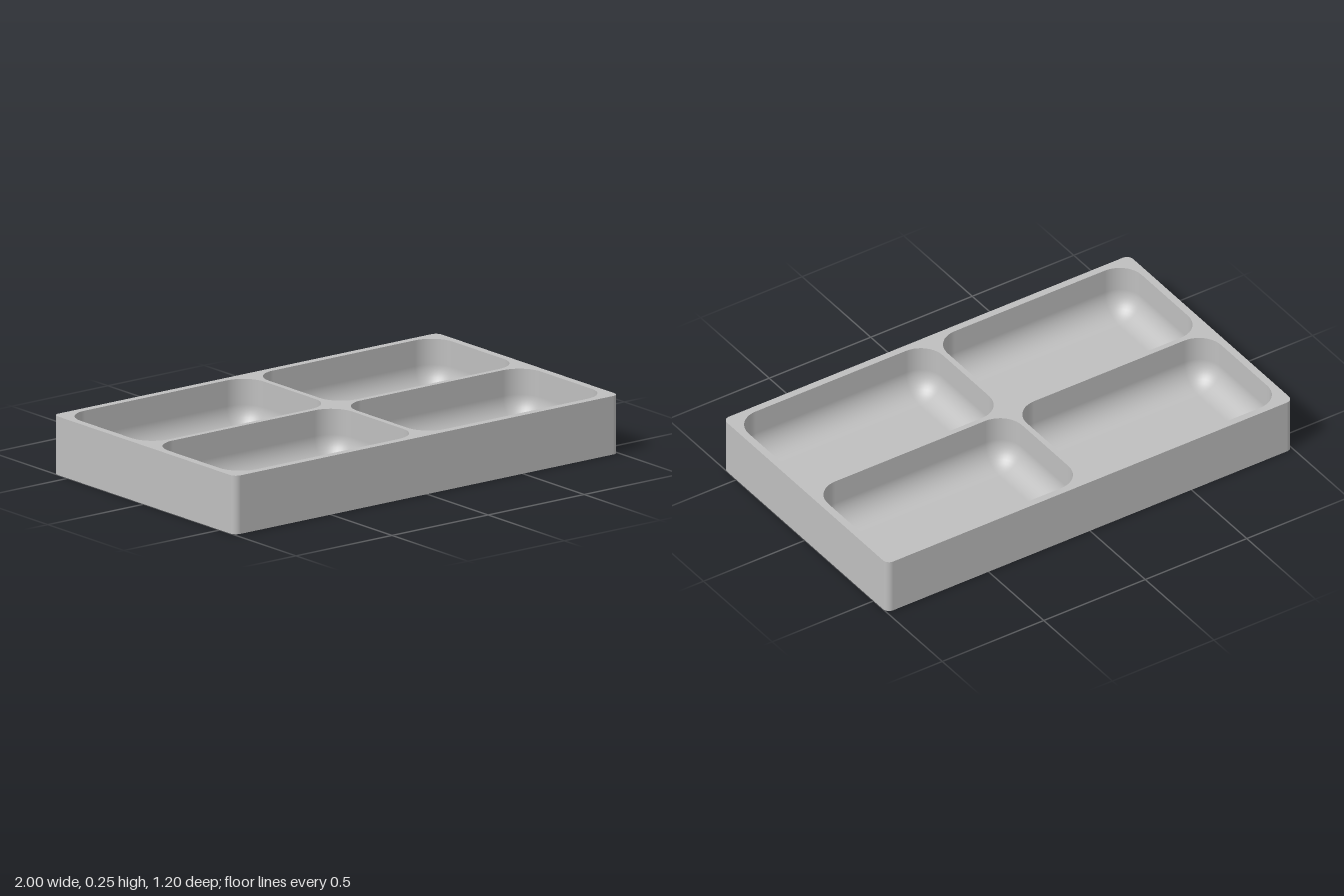
import * as THREE from 'three';

const H = 0.248, FLOOR = 0.03;          // tray height, floor thickness
const HX = 1, HZ = 0.598, R = 0.03;     // outer half sizes and corner radius
const PX = 0.478, PZ = 0.277, PR = 0.108; // pocket half sizes, corner and fillet radius
const CX = 0.49, CZ = 0.289;            // pocket centre offsets
const SEG = 10;

// Rounded rectangle as points with outward directions
function outline(hx, hz, r) {
  const pts = [];
  [[1, 1], [-1, 1], [-1, -1], [1, -1]].forEach(([sx, sz], q) => {
    for (let i = 0; i <= SEG; i++) {
      const a = (q + i / SEG) * Math.PI / 2, nx = Math.cos(a), nz = Math.sin(a);
      pts.push({ x: sx * (hx - r) + r * nx, z: sz * (hz - r) + r * nz, nx, nz });
    }
  });
  return pts;
}

// Skin between rings; each ring has an outline, a height and a normal (side, up)
function loft(rings) {
  const pos = [], nor = [], idx = [], n = rings[0].pts.length;
  for (const { pts, y, side, up } of rings) {
    for (const p of pts) {
      pos.push(p.x, y, p.z);
      nor.push(p.nx * side, up, p.nz * side);
    }
  }
  for (let k = 0; k < rings.length - 1; k++) {
    for (let i = 0; i < n; i++) {
      const j = (i + 1) % n, a = k * n + i, b = k * n + j;
      idx.push(a, a + n, b, b, a + n, b + n);
    }
  }
  const g = new THREE.BufferGeometry();
  g.setAttribute('position', new THREE.Float32BufferAttribute(pos, 3));
  g.setAttribute('normal', new THREE.Float32BufferAttribute(nor, 3));
  g.setIndex(idx);
  return g;
}

const toVectors = (pts, cx = 0, cz = 0) => pts.map(p => new THREE.Vector2(p.x + cx, p.z + cz));

export function createModel() {
  const model = new THREE.Group();
  model.name = 'compartmentTray';
  const grey = new THREE.MeshStandardMaterial({ color: 0xbfbfbf });
  grey.name = 'grey';
  const add = (name, geometry, parent = model) => {
    const mesh = new THREE.Mesh(geometry, grey);
    mesh.name = name;
    parent.add(mesh);
    return mesh;
  };

  const outer = outline(HX, HZ, R), mouth = outline(PX, PZ, PR);
  const centres = [[-CX, -CZ], [CX, -CZ], [-CX, CZ], [CX, CZ]];

  // Outer walls and underside
  add('outerWall', loft([{ pts: outer, y: 0, side: 1, up: 0 }, { pts: outer, y: H, side: 1, up: 0 }]));
  add('underside', new THREE.ShapeGeometry(new THREE.Shape(toVectors(outer))).rotateX(Math.PI / 2));

  // Flat rim with four openings
  const rim = new THREE.Shape(toVectors(outer));
  for (const [x, z] of centres) rim.holes.push(new THREE.Path(toVectors(mouth, x, z)));
  add('rim', new THREE.ShapeGeometry(rim).rotateX(-Math.PI / 2).translate(0, H, 0));

  // Pocket: straight wall, then a quarter-round fillet down to the floor
  const rings = [{ pts: mouth, y: H, side: -1, up: 0 }];
  for (let i = 0; i <= SEG; i++) {
    const a = i / SEG * Math.PI / 2, inset = PR * (1 - Math.cos(a));
    rings.push({
      pts: outline(PX - inset, PZ - inset, PR - inset),
      y: FLOOR + PR * (1 - Math.sin(a)), side: -Math.cos(a), up: Math.sin(a),
    });
  }
  const wall = loft(rings);
  const floor = new THREE.PlaneGeometry(2 * (PX - PR), 2 * (PZ - PR))
    .rotateX(-Math.PI / 2).translate(0, FLOOR, 0);
  centres.forEach(([x, z], i) => {
    const pocket = new THREE.Group();
    pocket.name = 'pocket' + (i + 1);
    pocket.position.set(x, 0, z);
    add('pocketWall', wall, pocket);
    add('pocketFloor', floor, pocket);
    model.add(pocket);
  });
  return model;
}
